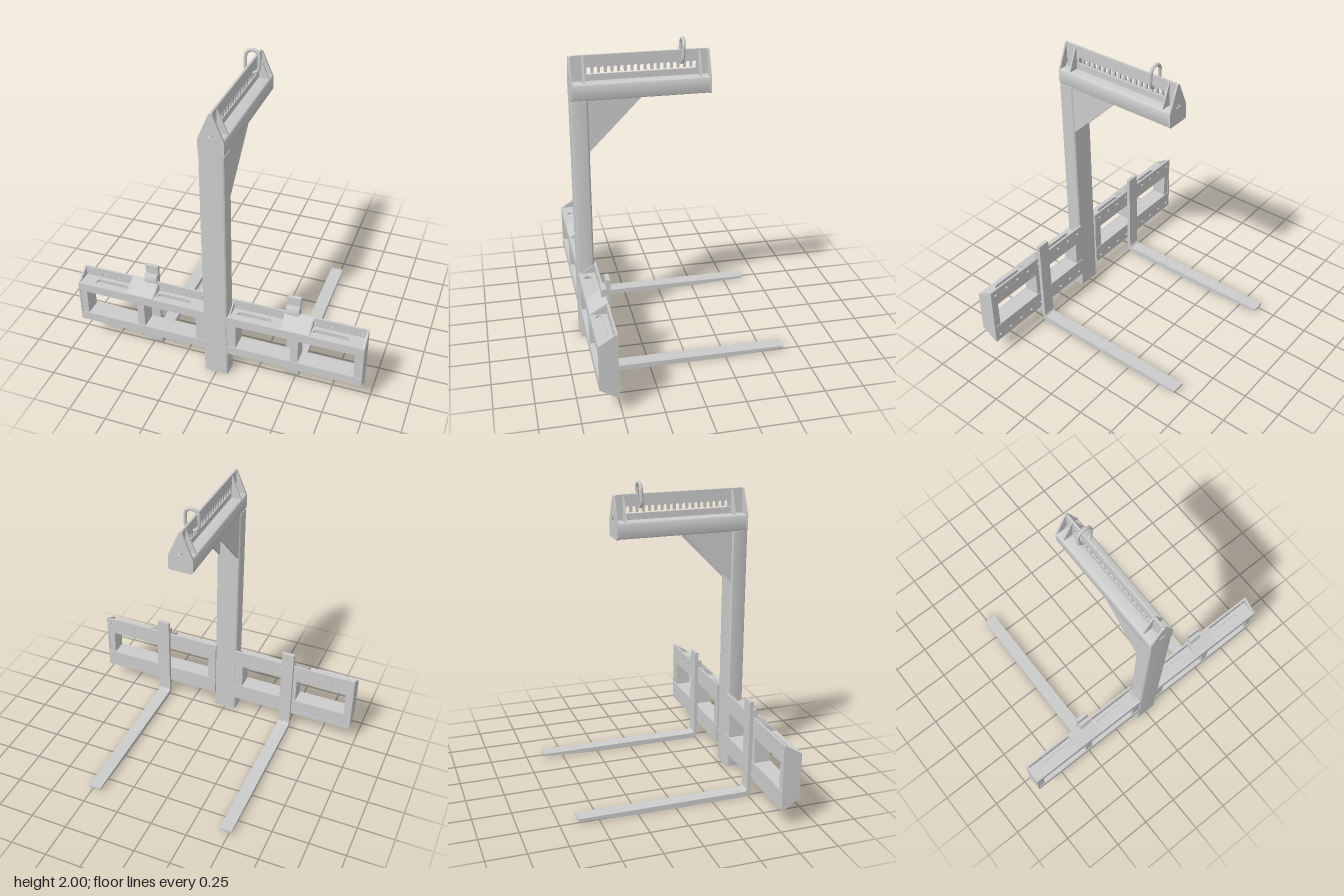
import * as THREE from 'three';
import { toCreasedNormals } from 'three/addons/utils/BufferGeometryUtils.js';

const grey = new THREE.MeshStandardMaterial({ color: 0xcccccc });
const poly = (pts) => new THREE.Shape(pts.map(([a, b]) => new THREE.Vector2(a, b)));
const rect = (a0, b0, a1, b1) => poly([[a0, b0], [a1, b0], [a1, b1], [a0, b1]]);
const circle = (x, y, r) => new THREE.Path().absarc(x, y, r, 0, Math.PI * 2);

// Rounded rectangle outline, used for tubes and slots
function rounded(x0, y0, x1, y1, r) {
  const s = new THREE.Shape();
  s.absarc(x1 - r, y1 - r, r, 0, Math.PI / 2);
  s.absarc(x0 + r, y1 - r, r, Math.PI / 2, Math.PI);
  s.absarc(x0 + r, y0 + r, r, Math.PI, Math.PI * 1.5);
  s.absarc(x1 - r, y0 + r, r, Math.PI * 1.5, Math.PI * 2);
  s.closePath();
  return s;
}

// Plate of a shape spanning from..to along an axis.
// Shape coordinates: axis x -> (z, y), axis y -> (x, z), axis z -> (x, y)
function plate(parent, name, axis, shape, from, to) {
  let g = new THREE.ExtrudeGeometry(shape, { depth: to - from, bevelEnabled: false, curveSegments: 8 });
  if (axis === 'x') g.rotateY(-Math.PI / 2).translate(to, 0, 0);
  else if (axis === 'y') g.rotateX(Math.PI / 2).translate(0, to, 0);
  else g.translate(0, 0, from);
  g = toCreasedNormals(g, 0.6);
  const mesh = new THREE.Mesh(g, grey);
  mesh.name = name;
  parent.add(mesh);
  return mesh;
}

function group(parent, name) {
  const g = new THREE.Group();
  g.name = name;
  parent.add(g);
  return g;
}

// Hollow upright, open at the foot, with two triangular braces under the boom
function buildMast(root) {
  const mast = group(root, 'mast');
  const tube = rounded(-0.08, 0.53, 0.08, 0.635, 0.012);
  tube.holes.push(rounded(-0.07, 0.54, 0.07, 0.625, 0.006));
  plate(mast, 'mastTube', 'y', tube, 0, 1.655);
  const brace = poly([[0.532, 1.32], [0.532, 1.657], [0.2, 1.657]]);
  for (const s of [-1, 1]) plate(mast, 'brace', 'x', brace, s * 0.066 - 0.007, s * 0.066 + 0.007);
}

// Boom with a notched lifting fin, end plates, ribs and a shackle
function buildBoom(root) {
  const boom = group(root, 'boom');
  plate(boom, 'boomBeam', 'z', rounded(-0.08, 1.655, 0.08, 1.76, 0.01), -0.228, 0.623);

  const fin = poly([[-0.235, 1.755], [0.63, 1.755], [0.63, 1.905], [0.615, 1.92], [-0.22, 1.92], [-0.235, 1.905]]);
  const rack = new THREE.Path();
  rack.moveTo(-0.16, 1.8);
  for (let i = 0; i < 17; i++) {
    const z = -0.157 + i * 0.041;
    rack.lineTo(z, 1.808);
    rack.lineTo(z, 1.834);
    rack.absarc(z + 0.012, 1.834, 0.012, Math.PI, 0, true);
    rack.lineTo(z + 0.024, 1.808);
  }
  rack.lineTo(0.54, 1.8);
  rack.closePath();
  fin.holes.push(rack);
  plate(boom, 'notchedFin', 'x', fin, -0.007, 0.007);

  for (const z of [-0.24, 0.623]) {
    const end = poly([[-0.072, 1.652], [0.072, 1.652], [0.08, 1.662], [0.08, 1.75],
      [0.01, 1.915], [0, 1.92], [-0.01, 1.915], [-0.08, 1.75], [-0.08, 1.662]]);
    const eye = new THREE.Path();
    eye.absarc(0, 1.762, 0.022, 0, Math.PI);
    eye.closePath();
    end.holes.push(eye);
    plate(boom, 'endPlate', 'z', end, z, z + 0.012);
  }
  const rib = poly([[-0.075, 1.757], [0.075, 1.757], [0.008, 1.915], [-0.008, 1.915]]);
  for (const z of [-0.18, 0.543]) plate(boom, 'rib', 'z', rib, z, z + 0.01);

  // Closed oval link through one notch
  const pts = [];
  for (let i = 0; i < 32; i++) {
    const a = (i / 32) * Math.PI * 2;
    const y = Math.sin(a) * 0.044 + (Math.sin(a) >= 0 ? 1.945 : 1.885);
    pts.push(new THREE.Vector3(Math.cos(a) * 0.044, y, -0.063 - (y - 1.84) * 0.06));
  }
  const link = new THREE.TubeGeometry(new THREE.CatmullRomCurve3(pts, true), 64, 0.011, 10, true);
  const shackle = new THREE.Mesh(link, grey);
  shackle.name = 'shackle';
  boom.add(shackle);
}

// One rail; flip maps heights of the upper rail to the lower one
function buildRail(parent, s, flip) {
  const rail = group(parent, flip ? 'lowerRail' : 'upperRail');
  const Y = (y) => (flip ? 0.67 - y : y);
  const span = (a, b) => [Math.min(a, b), Math.max(a, b)];
  const [x0, x1] = span(s * 0.075, s * 0.955);

  // Bored back plate
  const [b0, b1] = span(Y(0.425), Y(0.55));
  const back = rect(x0, b0, x1, b1);
  for (let i = 0; i < 9; i++) back.holes.push(circle(s * (0.12 + i * 0.1), Y(0.508), 0.009));
  plate(rail, 'backPlate', 'z', back, 0.517, 0.53);

  // Channel: slotted shelf, front flange, inner flange
  const shelf = rect(x0, 0.528, x1, 0.633);
  const slots = s > 0 ? [0.13, 0.626] : [-0.415, -0.85];
  for (const a of slots) shelf.holes.push(rounded(a, 0.556, a + 0.225, 0.604, 0.0235));
  plate(rail, 'slottedShelf', 'y', shelf, ...span(Y(0.476), Y(0.486)));
  const [f0, f1] = span(Y(0.425), Y(0.486));
  plate(rail, 'frontFlange', 'z', rect(x0, f0, x1, f1), 0.625, 0.635);
  plate(rail, 'innerFlange', 'y', rect(x0, 0.528, x1, 0.63), ...span(Y(0.426), Y(0.436)));

  // Triangular stiffeners and the sloping cover between the middle pair
  const tri = poly([[0.528, Y(0.48)], [0.633, Y(0.48)], [0.528, Y(0.547)]]);
  for (const x of [0.09, 0.43, 0.61, 0.95]) plate(rail, 'stiffener', 'x', tri, s * x - 0.004, s * x + 0.004);
  const cover = poly([[0.634, Y(0.482)], [0.634, Y(0.49)], [0.528, Y(0.553)], [0.528, Y(0.544)]]);
  plate(rail, 'slopingCover', 'x', cover, ...span(s * 0.43, s * 0.61));
}

// Carriage frame on one side of the mast
function buildCarriage(root, s) {
  const side = group(root, s > 0 ? 'leftCarriage' : 'rightCarriage');
  buildRail(side, s, false);
  buildRail(side, s, true);
  for (const [a, b] of [[0.078, 0.135], [0.495, 0.545], [0.905, 0.953]]) {
    plate(side, 'upright', 'y', rect(Math.min(s * a, s * b), 0.522, Math.max(s * a, s * b), 0.63), 0.235, 0.435);
  }
  const end = poly([[0.517, 0.12], [0.53, 0.12], [0.635, 0.187], [0.635, 0.483], [0.53, 0.55], [0.517, 0.55]]);
  plate(side, 'sidePlate', 'x', end, s * 0.955 - 0.005, s * 0.955 + 0.005);
}

// L-shaped fork with tapered tip and two hooks over the back plates
function buildFork(root, s) {
  const fork = group(root, s > 0 ? 'leftFork' : 'rightFork');
  const x = s * 0.478, w = 0.0425;
  const p = new THREE.Shape();
  p.moveTo(0.515, 0.66);
  p.lineTo(0.49, 0.66);
  p.lineTo(0.49, 0.062);
  p.quadraticCurveTo(0.49, 0.035, 0.463, 0.035);
  p.lineTo(-0.635, 0.035);
  p.lineTo(-0.635, 0.02);
  p.lineTo(-0.25, 0);
  p.lineTo(0.475, 0);
  p.quadraticCurveTo(0.515, 0, 0.515, 0.04);
  p.closePath();
  plate(fork, 'blade', 'x', p, x - w, x + w);
  for (const Y of [(y) => y, (y) => 0.69 - y]) {
    const hook = poly([[0.512, Y(0.6)], [0.535, Y(0.6)], [0.545, Y(0.585)], [0.545, Y(0.545)],
      [0.532, Y(0.53)], [0.532, Y(0.553)], [0.512, Y(0.553)]]);
    plate(fork, 'hook', 'x', hook, x - w, x + w);
  }
}

export function createModel() {
  const root = new THREE.Group();
  root.name = 'craneForkAttachment';
  buildMast(root);
  buildBoom(root);
  for (const s of [-1, 1]) {
    buildCarriage(root, s);
    buildFork(root, s);
  }
  return root;
}
